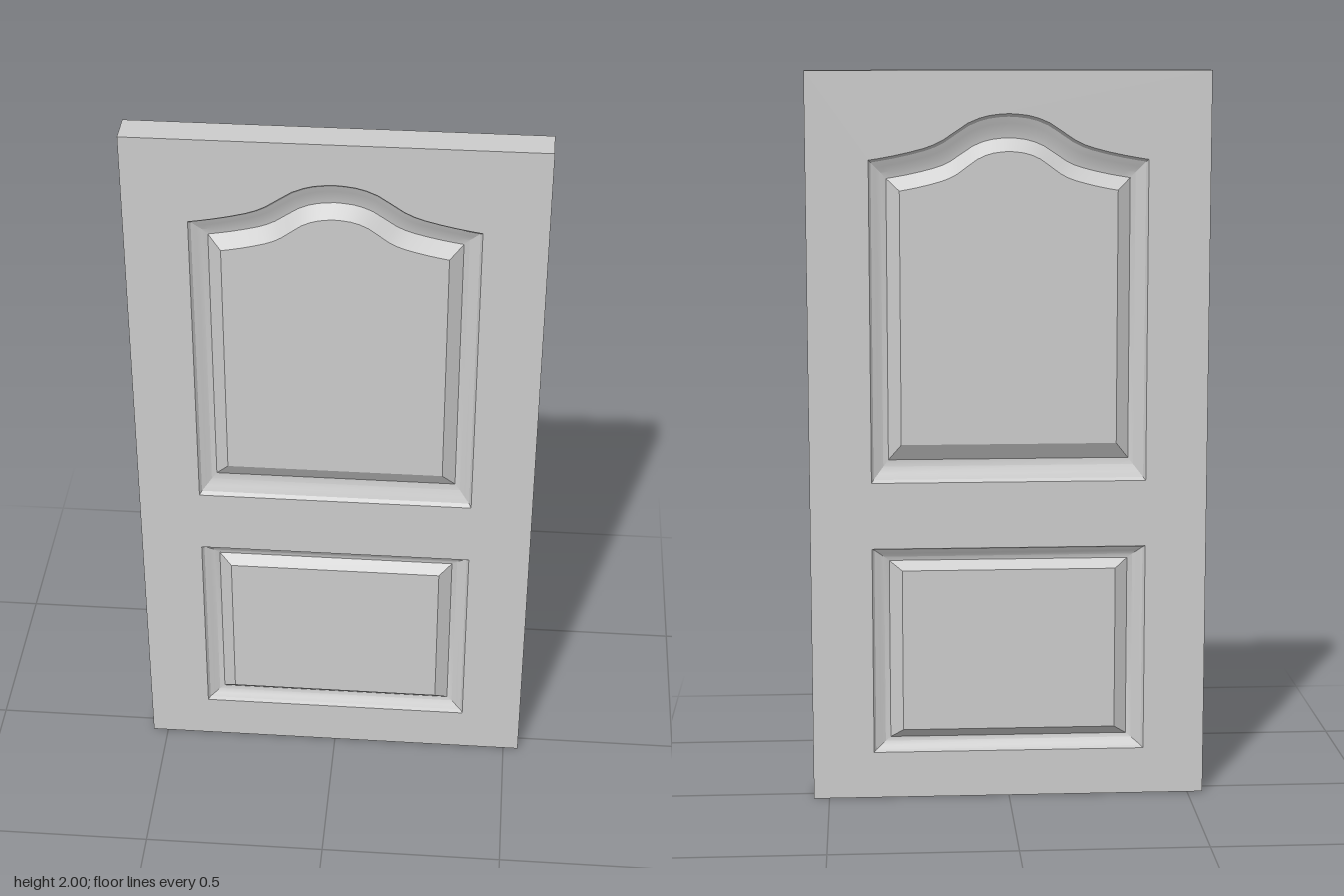
import * as THREE from 'three';
import { toCreasedNormals } from 'three/addons/utils/BufferGeometryUtils.js';

const W = 0.543, H = 2, T = 0.045;
const material = new THREE.MeshStandardMaterial({ color: 0xcccccc });

// Half of the arch: x as a fraction of the half width, rise as a fraction of the arch height
const archCurve = new THREE.SplineCurve([
  [1, 0], [0.83, 0.09], [0.61, 0.25], [0.47, 0.43], [0.29, 0.8], [0.14, 0.96], [0, 1],
].map(([x, y]) => new THREE.Vector2(x, y)));
const half = archCurve.getPoints(12);
const arch = [...half, ...half.slice(0, -1).reverse().map(p => new THREE.Vector2(-p.x, p.y))];

// Each panel lists its outer edge, groove crease and raised field edge
const panels = [
  {
    name: 'upperPanel',
    edges: [
      { w: 0.375, y0: 0.89, y1: 1.764, rise: 0.122 },
      { w: 0.328, y0: 0.95, y1: 1.714, rise: 0.107 },
      { w: 0.293, y0: 0.995, y1: 1.682, rise: 0.104 },
    ],
  },
  {
    name: 'lowerPanel',
    edges: [
      { w: 0.375, y0: 0.13, y1: 0.707, rise: 0 },
      { w: 0.328, y0: 0.167, y1: 0.669, rise: 0 },
      { w: 0.293, y0: 0.194, y1: 0.645, rise: 0 },
    ],
  },
];

// Moulding section: [edge index along the panel, depth below the face]
const section = [[0, 0], [0.13, 0.01], [0.4, 0.016], [0.7, 0.024], [1, 0.027], [2, 0]];

function edgeAt(edges, t) {
  const i = Math.min(Math.floor(t), 1), f = t - i, e = {};
  for (const k of ['w', 'y0', 'y1', 'rise']) e[k] = THREE.MathUtils.lerp(edges[i][k], edges[i + 1][k], f);
  return e;
}

// Counter-clockwise outline with a straight or arched top
function outline({ w, y0, y1, rise }) {
  const top = rise > 0 ? arch : [new THREE.Vector2(1, 0), new THREE.Vector2(-1, 0)];
  return [new THREE.Vector2(-w, y0), new THREE.Vector2(w, y0),
    ...top.map(p => new THREE.Vector2(p.x * w, y1 + p.y * rise))];
}

// Skin between successive closed loops
function loft(loops) {
  const pos = [];
  for (let k = 0; k < loops.length - 1; k++) {
    const a = loops[k], b = loops[k + 1], n = a.pts.length;
    for (let i = 0; i < n; i++) {
      const j = (i + 1) % n;
      for (const [l, m] of [[a, i], [a, j], [b, j], [a, i], [b, j], [b, i]]) {
        pos.push(l.pts[m].x, l.pts[m].y, l.z);
      }
    }
  }
  const g = new THREE.BufferGeometry();
  g.setAttribute('position', new THREE.Float32BufferAttribute(pos, 3));
  return toCreasedNormals(g, 0.45);
}

function addMesh(group, name, geometry) {
  const mesh = new THREE.Mesh(geometry, material);
  mesh.name = name;
  group.add(mesh);
  return mesh;
}

function createFace(name) {
  const face = new THREE.Group();
  face.name = name;

  // Flat frame with openings for the panels
  const frame = new THREE.Shape(outline({ w: W, y0: 0, y1: H, rise: 0 }));
  for (const p of panels) frame.holes.push(new THREE.Path(outline(p.edges[0])));
  addMesh(face, 'frame', new THREE.ShapeGeometry(frame)).position.z = T;

  for (const p of panels) {
    // Sunken moulding, rising again to the panel field
    const loops = section.map(([t, d]) => ({ pts: outline(edgeAt(p.edges, t)), z: T - d }));
    addMesh(face, p.name + 'Moulding', loft(loops));
    // Flat raised field
    const field = new THREE.ShapeGeometry(new THREE.Shape(outline(p.edges[2])));
    addMesh(face, p.name + 'Field', field).position.z = T;
  }
  return face;
}

export function createModel() {
  const door = new THREE.Group();
  door.name = 'door';

  // Same panelled face on both sides
  const back = createFace('backFace');
  back.rotation.y = Math.PI;
  door.add(createFace('frontFace'), back);

  // Narrow edges all round
  const rim = outline({ w: W, y0: 0, y1: H, rise: 0 });
  addMesh(door, 'edges', loft([{ pts: rim, z: -T }, { pts: rim, z: T }]));
  return door;
}
